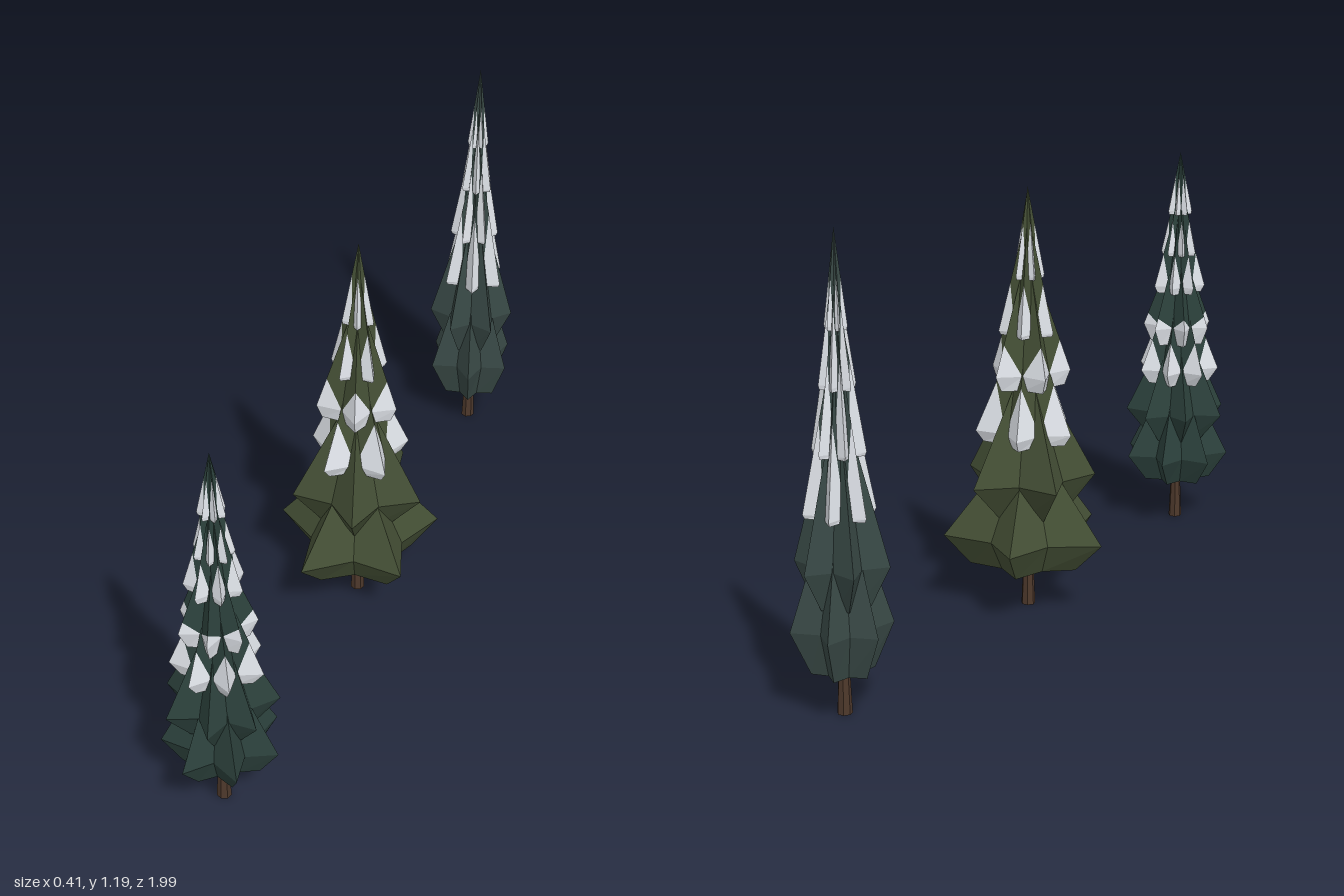
import * as THREE from 'three';

const material = (color) => new THREE.MeshStandardMaterial({ color, flatShading: true });
const snowMat = material(0xe0e4ea);
const barkMat = material(0x4d382b);

// Each tier: [hem y, hem radius, widest y, widest radius, apex y, snow reach (0 = bare)]
const TREES = [
  {
    name: 'frontTree', z: 0.84, color: 0x2c413c, points: 7, turn: 0, tiers: [
      [0.125, 0.10, 0.20, 0.155, 0.50, 0],
      [0.25, 0.08, 0.33, 0.143, 0.64, 0],
      [0.42, 0.09, 0.46, 0.118, 0.76, 0.3],
      [0.54, 0.08, 0.59, 0.10, 0.86, 0.12],
      [0.69, 0.065, 0.71, 0.074, 0.98, 0.35],
      [0.80, 0.048, 0.81, 0.052, 1.04, 0.4],
      [0.92, 0.034, 0.93, 0.036, 1.10, 0.6],
    ],
  },
  {
    name: 'middleTree', z: -0.02, color: 0x444f35, points: 5, turn: Math.PI / 5, tiers: [
      [0.12, 0.15, 0.20, 0.225, 0.49, 0],
      [0.26, 0.10, 0.36, 0.185, 0.70, 0],
      [0.46, 0.115, 0.49, 0.135, 0.82, 0.4],
      [0.61, 0.095, 0.65, 0.112, 0.98, 0.25],
      [0.75, 0.072, 0.76, 0.077, 1.08, 0.4],
      [0.90, 0.04, 0.91, 0.042, 1.14, 0.6],
    ],
  },
  {
    name: 'backTree', z: -0.88, color: 0x384845, points: 6, turn: 0.2, tiers: [
      [0.11, 0.08, 0.22, 0.125, 0.62, 0],
      [0.28, 0.07, 0.38, 0.12, 0.82, 0],
      [0.50, 0.085, 0.51, 0.09, 0.96, 0.5],
      [0.65, 0.062, 0.66, 0.066, 1.06, 0.55],
      [0.81, 0.044, 0.82, 0.046, 1.13, 0.6],
      [0.95, 0.026, 0.96, 0.028, 1.19, 0.5],
    ],
  },
];

// Flat-shaded mesh from a list of corner points, three per face
function facetMesh(corners, mat, name) {
  const geo = new THREE.BufferGeometry().setFromPoints(corners);
  geo.computeVertexNormals();
  const mesh = new THREE.Mesh(geo, mat);
  mesh.name = name;
  return mesh;
}

// Star-shaped ring: ridges on even steps, valleys on odd ones
function starRing(y, radius, points, turn, valley) {
  return Array.from({ length: points * 2 }, (_, i) => {
    const a = turn + (i * Math.PI) / points;
    const wobble = 1 + 0.03 * Math.sin(i * 2.3 + y * 17);
    const r = radius * (i % 2 ? valley : wobble);
    return new THREE.Vector3(Math.cos(a) * r, y, Math.sin(a) * r);
  });
}

// One tier: closed underside, skirt flaring to the widest ring, then folded cone
function addTier([hemY, hemR, wideY, wideR, topY, snowReach], points, turn, green, snow) {
  const hem = starRing(hemY, hemR, points, turn, 0.62);
  const wide = starRing(wideY, wideR, points, turn, 0.58);
  const apex = new THREE.Vector3(0, topY, 0);
  const centre = new THREE.Vector3(0, hemY, 0);
  const skirt = snowReach ? snow : green;
  for (let i = 0; i < hem.length; i++) {
    const j = (i + 1) % hem.length;
    green.push(centre, hem[i], hem[j]);
    skirt.push(hem[j], hem[i], wide[i], hem[j], wide[i], wide[j]);
    if (!snowReach) {
      green.push(wide[j], wide[i], apex);
      continue;
    }
    // snow tapers upward along the ridge, green fills the rest of the fold
    const iIsRidge = i % 2 === 0;
    const ridge = iIsRidge ? wide[i] : wide[j];
    const tip = ridge.clone().lerp(apex, snowReach);
    snow.push(wide[j], wide[i], tip);
    if (iIsRidge) green.push(wide[j], tip, apex);
    else green.push(tip, wide[i], apex);
  }
}

function makeTree({ name, z, color, points, turn, tiers }) {
  const tree = new THREE.Group();
  tree.name = name;
  tree.position.set(0.02, 0, z);

  const green = [], snow = [];
  tiers.forEach((tier, k) => addTier(tier, points, turn + (k % 2) * (Math.PI / points), green, snow));
  tree.add(facetMesh(green, material(color), 'foliage'));
  tree.add(facetMesh(snow, snowMat, 'snow'));

  // Trunk flares slightly at the ground
  const trunk = new THREE.Mesh(new THREE.CylinderGeometry(0.011, 0.019, 0.2, 7), barkMat);
  trunk.name = 'trunk';
  trunk.position.y = 0.1;
  tree.add(trunk);
  return tree;
}

export function createModel() {
  const model = new THREE.Group();
  model.name = 'snowyFirTrees';
  TREES.forEach((spec) => model.add(makeTree(spec)));
  return model;
}
